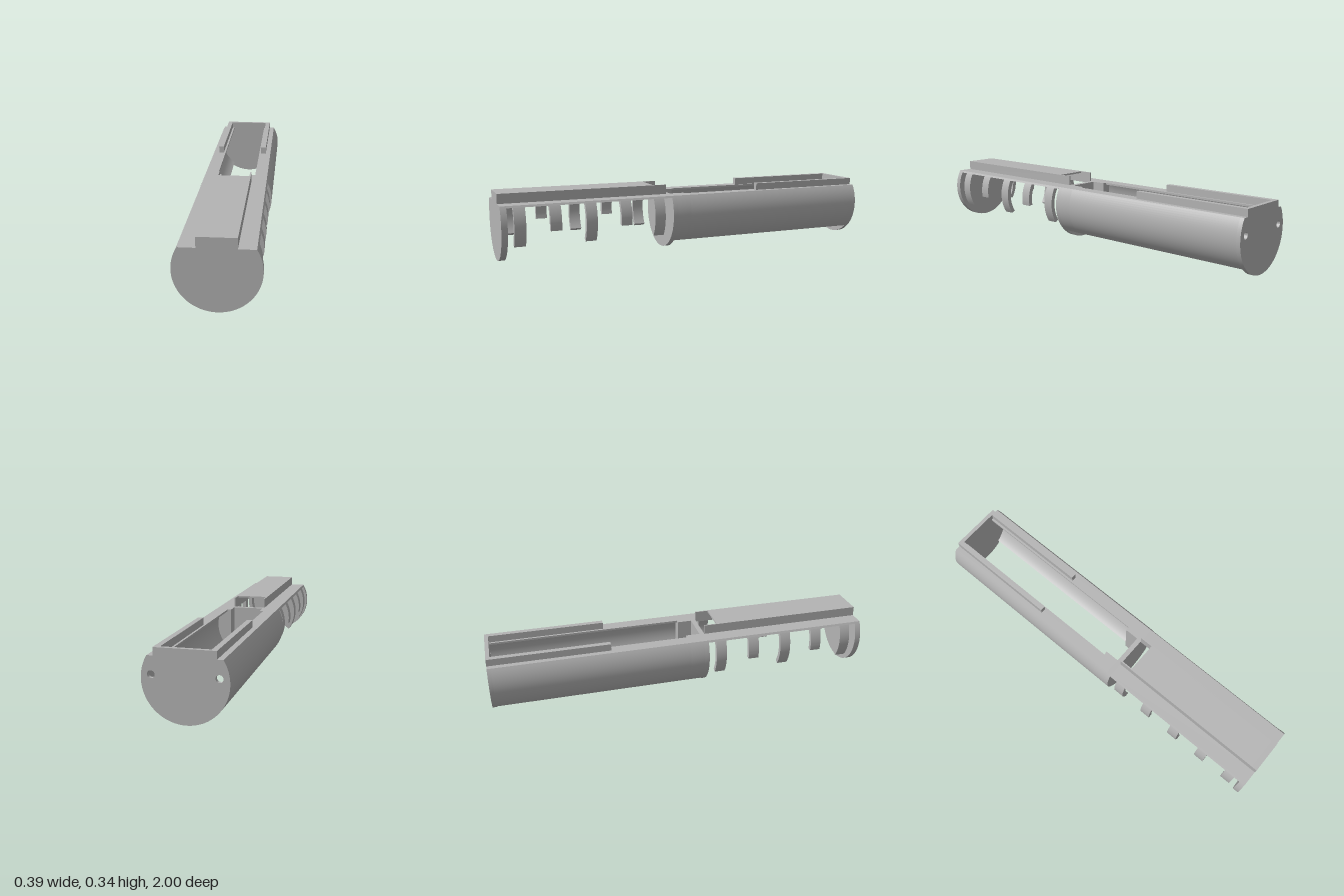
import * as THREE from 'three';
import { toCreasedNormals } from 'three/addons/utils/BufferGeometryUtils.js';

const CY = 0.193, R = 0.193, FLAT = 0.293, UNDER = 0.283;

export function createModel() {
  const group = new THREE.Group();
  const grey = new THREE.MeshStandardMaterial({ color: 0xb4b4b4 });
  grey.name = 'grey';

  // Extrude a cross-section (x, y points) from z0 to z1
  function extrude(name, pts, z0, z1, holes = []) {
    const shape = new THREE.Shape(pts.map(([x, y]) => new THREE.Vector2(x, y)));
    for (const [x, y, r] of holes) {
      shape.holes.push(new THREE.Path().absarc(x, y, r, 0, Math.PI * 2, true));
    }
    const geo = new THREE.ExtrudeGeometry(shape, { depth: z1 - z0, bevelEnabled: false, curveSegments: 10 });
    geo.translate(0, 0, z0);
    const mesh = new THREE.Mesh(toCreasedNormals(geo, 0.4), grey);
    mesh.name = name;
    group.add(mesh);
  }
  const rect = (x0, y0, x1, y1) => [[x0, y0], [x1, y0], [x1, y1], [x0, y1]];
  const mirror = (pts, s) => pts.map(([x, y]) => [s * x, y]);
  // Points on a circle about the tube axis, between two angles
  function arc(r, a0, a1, n = 24) {
    return Array.from({ length: n + 1 }, (_, i) => {
      const a = a0 + (a1 - a0) * i / n;
      return [r * Math.cos(a), CY + r * Math.sin(a)];
    });
  }
  const angleAt = (r, y) => Math.asin((y - CY) / r);

  // Round bulkhead with a flat top, and an optional raised tab
  function bulkhead(name, z0, z1, tabX, tabY, holes) {
    const a = angleAt(R, FLAT);
    const pts = arc(R, Math.PI - a, Math.PI * 2 + a, 72);
    if (tabX) pts.push([tabX, FLAT], [tabX, tabY], [-tabX, tabY], [-tabX, FLAT]);
    extrude(name, pts, z0, z1, holes);
  }
  bulkhead('frontBulkhead', 0.97, 1, 0.087, 0.342);
  bulkhead('middleBulkhead', 0.105, 0.13);
  bulkhead('rearBulkhead', -1, -0.98, 0.138, 0.329, [[-0.148, 0.212, 0.017], [0.148, 0.212, 0.017]]);

  for (const s of [1, -1]) {
    const side = s > 0 ? 'left' : 'right';

    // Rear shell with an inward lip on top
    const shell = (lip) => mirror([
      ...arc(R, angleAt(R, 0.05), angleAt(R, FLAT)),
      [lip, FLAT], [lip, UNDER],
      ...arc(0.174, angleAt(0.174, UNDER), angleAt(0.174, 0.05)),
    ], s);
    extrude(side + 'RearShell', shell(0.1), -0.98, 0.03);
    extrude(side + 'RearShellEnd', shell(0.08), 0.03, 0.105);

    // Corner post and top rail
    extrude(side + 'Post', mirror(rect(0.08, 0.05, 0.128, UNDER), s), 0.03, 0.105);
    extrude(side + 'Rail', mirror(rect(0.111, FLAT, 0.138, 0.329), s), -0.98, -0.38);

    // Front deck strip and channel wall of the raised cover
    extrude(side + 'Deck', mirror([
      [0.08, UNDER], [0.171, UNDER], [0.165, FLAT], [0.087, FLAT], [0.087, 0.342], [0.08, 0.342],
    ], s), 0.13, 0.97);

    // Curved ribs, alternating long and short
    [0.2, 0.38, 0.56, 0.738, 0.91].forEach((z, i) => {
      const low = angleAt(0.185, i % 2 ? 0.16 : 0.09);
      extrude(side + 'Rib' + (i + 1), mirror([
        ...arc(0.185, low, angleAt(0.185, UNDER), 16),
        ...arc(0.163, angleAt(0.163, UNDER), low, 16),
      ], s), z - 0.028, z + 0.028);
    });
  }

  // Roof of the raised cover
  extrude('coverRoof', rect(-0.08, 0.333, 0.08, 0.342), 0.2, 0.97);

  return group;
}
